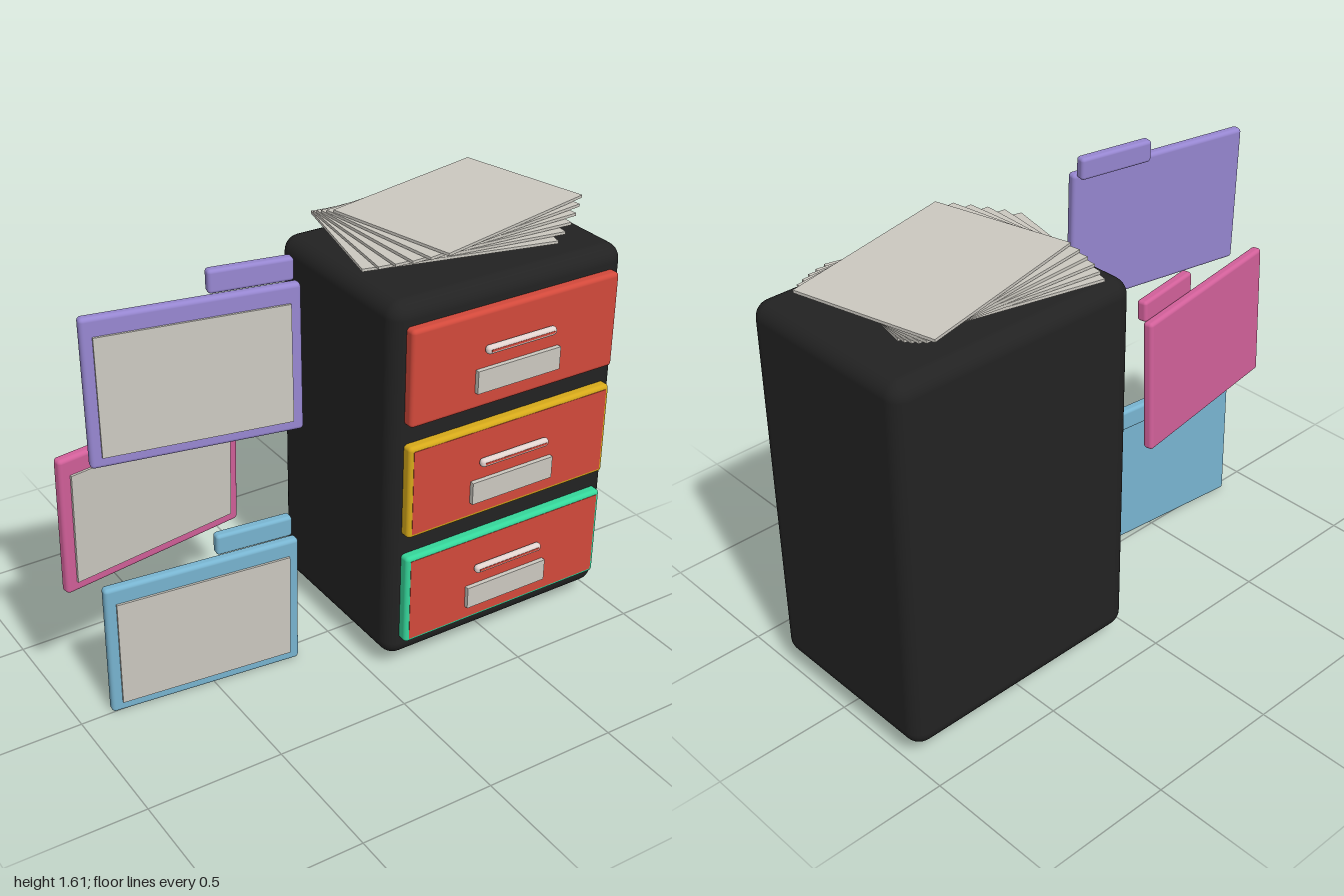
import * as THREE from 'three';
import { RoundedBoxGeometry } from 'three/addons/geometries/RoundedBoxGeometry.js';

const paint = (name, color) => Object.assign(new THREE.MeshStandardMaterial({ color }), { name });

export function createModel() {
  const black = paint('cabinet black', 0x222222);
  const red = paint('drawer red', 0xd2493b);
  const yellow = paint('rim yellow', 0xd6a91a);
  const green = paint('rim green', 0x35d69a);
  const paper = paint('paper grey', 0xcbc8c0);
  const metal = paint('handle white', 0xe0d2ce);
  const purple = paint('folder purple', 0x9686d0);
  const pink = paint('folder pink', 0xd2609a);
  const blue = paint('folder blue', 0x78b4d0);

  const model = new THREE.Group();
  model.name = 'filingCabinetWithFolders';

  // Box helper; radius 0 gives sharp edges
  function box(parent, name, mat, [w, h, d], [x, y, z], radius = 0) {
    const geo = radius
      ? new RoundedBoxGeometry(w, h, d, 4, radius)
      : new THREE.BoxGeometry(w, h, d);
    const mesh = new THREE.Mesh(geo, mat);
    mesh.name = name;
    mesh.position.set(x, y, z);
    parent.add(mesh);
    return mesh;
  }

  // Cabinet body
  box(model, 'cabinetBody', black, [0.955, 1.39, 0.72], [0.52, 0.755, -0.03], 0.06);

  // Drawers, each with a rim, red front, handle and label
  [[1.192, red], [0.76, yellow], [0.323, green]].forEach(([y, rim]) => {
    const drawer = new THREE.Group();
    drawer.name = 'drawer';
    drawer.position.set(0.518, y, 0);
    model.add(drawer);
    box(drawer, 'drawerPanel', rim, [0.855, 0.358, 0.05], [0, 0, 0.342], 0.015);
    if (rim !== red) {
      box(drawer, 'drawerFront', red, [0.823, 0.326, 0.004], [0, 0, 0.3665]);
    }
    box(drawer, 'handle', metal, [0.29, 0.032, 0.028], [0, 0.044, 0.384], 0.0135);
    box(drawer, 'handleStripe', red, [0.265, 0.008, 0.002], [0, 0.044, 0.398]);
    box(drawer, 'label', paper, [0.345, 0.085, 0.017], [0, -0.07, 0.377]);
  });

  // Fanned stack of paper sheets
  const sheets = 6;
  for (let i = 0; i < sheets; i++) {
    const t = i / (sheets - 1);
    const sheet = box(model, 'paperSheet', paper, [0.7, 0.01, 0.52],
      [0.46 + 0.11 * t, 1.494 + 0.061 * t, -0.06]);
    sheet.rotation.y = THREE.MathUtils.degToRad(-13.2 + 26.4 * t);
  }

  // Floating folders: cover, index tab and the page on the front
  function folder(name, mat, position, turn, tilt, tabZ) {
    const group = new THREE.Group();
    group.name = name;
    group.position.set(...position);
    group.rotation.order = 'YXZ';
    group.rotation.y = THREE.MathUtils.degToRad(turn);
    group.rotation.x = THREE.MathUtils.degToRad(tilt);
    model.add(group);
    box(group, 'folderCover', mat, [0.715, 0.518, 0.04], [0, 0, 0], 0.014);
    box(group, 'folderTab', mat, [0.285, 0.08, 0.04], [0.207, 0.292, tabZ], 0.012);
    box(group, 'folderPage', paper, [0.64, 0.415, 0.012], [0, -0.012, 0.022]);
  }
  folder('purpleFolder', purple, [-0.555, 1.28, 0.095], -10.5, -1.5, -0.038);
  folder('pinkFolder', pink, [-0.643, 0.787, -0.092], 9, 2, 0.03);
  folder('blueFolder', blue, [-0.525, 0.264, 0.025], -5.6, 1, -0.034);

  return model;
}
